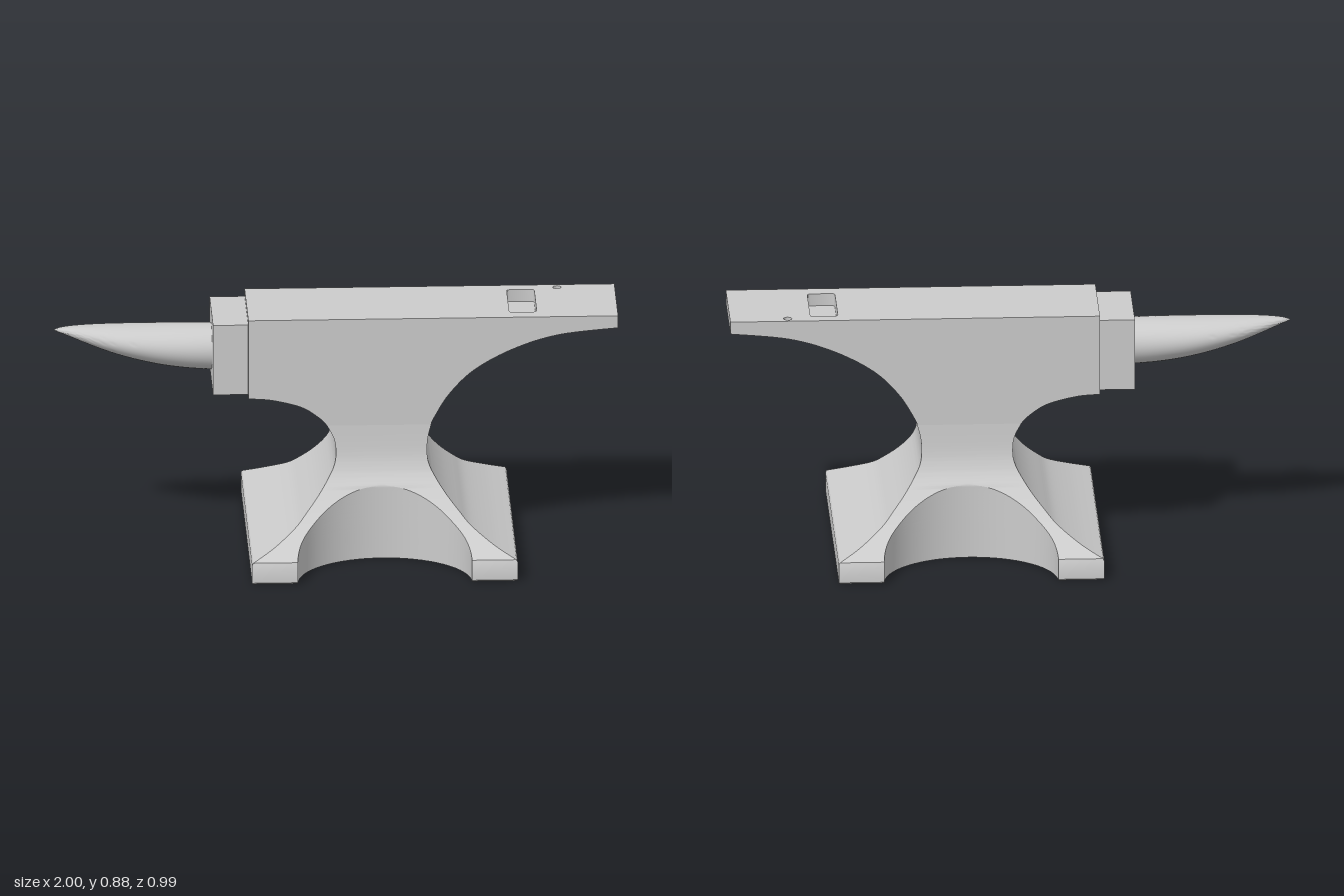
import * as THREE from 'three';
import { toCreasedNormals } from 'three/addons/utils/BufferGeometryUtils.js';

const material = new THREE.MeshStandardMaterial({ color: 0xcccccc });

function part(name, geometry, crease = 0.5) {
  const mesh = new THREE.Mesh(toCreasedNormals(geometry, crease), material);
  mesh.name = name;
  return mesh;
}

// Smoothly interpolate every column of a small table of rows
function splineRows(rows, count) {
  const curves = rows[0].map((_, c) => new THREE.SplineCurve(rows.map(r => new THREE.Vector2(r[c], 0))));
  return Array.from({ length: count + 1 }, (_, i) => curves.map(k => k.getPoint(i / count).x));
}

// Skin closed rings of equal size; both ends are capped by strips across the ring
function loft(rings) {
  const n = rings[0].length, index = [];
  const quad = (a, b, c, d) => index.push(a, b, c, a, c, d);
  for (let r = 0; r < rings.length - 1; r++) {
    for (let i = 0; i < n; i++) {
      const j = (i + 1) % n, lo = r * n, hi = lo + n;
      quad(lo + i, lo + j, hi + j, hi + i);
    }
  }
  const top = (rings.length - 1) * n;
  for (let i = 0; i < n / 2 - 1; i++) {
    quad(i, n - 1 - i, n - 2 - i, i + 1);
    quad(top + i, top + i + 1, top + n - 2 - i, top + n - 1 - i);
  }
  const geometry = new THREE.BufferGeometry();
  geometry.setAttribute('position', new THREE.Float32BufferAttribute(rings.flat(2), 3));
  geometry.setIndex(index);
  return geometry;
}

// One level of the foot: a rectangle with an elliptical bite in front and back
function footRing([y, halfZ, left, right]) {
  const centre = 0.158, biteX = 0.31, biteZ = 0.27, steps = 32;
  const reach = Math.max(0, 1 - ((0.5 - halfZ) / biteZ) ** 2);
  const dx = Math.max(0.02, biteX * Math.sqrt(reach));
  const front = [[left, y, halfZ]];
  for (let i = 0; i <= steps; i++) {
    const off = -dx * Math.cos(Math.PI * i / steps);
    const bite = 0.5 - biteZ * Math.sqrt(Math.max(0, 1 - (off / biteX) ** 2));
    front.push([centre + off, y, Math.min(halfZ, bite)]);
  }
  front.push([right, y, halfZ]);
  const back = front.map(([x, h, z]) => [x, h, -z]).reverse();
  return [...front, ...back];
}

function createModel() {
  const anvil = new THREE.Group();
  anvil.name = 'anvil';

  // Foot and waist: height, half depth, left edge, right edge
  const plinth = [
    [0, 0.49, -0.31, 0.625],
    [0.006, 0.496, -0.315, 0.63],
    [0.072, 0.496, -0.315, 0.63],
    [0.08, 0.492, -0.31, 0.625],
  ];
  const flare = splineRows([
    [0.08, 0.492, -0.31, 0.625],
    [0.115, 0.43, -0.232, 0.548],
    [0.16, 0.35, -0.155, 0.471],
    [0.2, 0.3, -0.112, 0.428],
    [0.25, 0.25, -0.066, 0.382],
    [0.3, 0.209, -0.03, 0.346],
    [0.34, 0.19, -0.01, 0.326],
    [0.38, 0.18, -0.004, 0.32],
    [0.43, 0.174, -0.01, 0.323],
    [0.48, 0.17, -0.035, 0.335],
  ], 90);
  anvil.add(part('foot', loft([...plinth, ...flare.slice(1)].map(footRing))));

  // Body: side outline from the waist up to the underside of the face plate
  const v = (x, y) => new THREE.Vector2(x, y);
  const outline = new THREE.Shape();
  outline.moveTo(0.335, 0.48);
  outline.splineThru([v(0.345, 0.505), v(0.4, 0.595), v(0.49, 0.685), v(0.63, 0.762), v(0.79, 0.812), v(1, 0.835)]);
  outline.lineTo(-0.315, 0.835);
  outline.lineTo(-0.315, 0.585);
  outline.splineThru([v(-0.23, 0.578), v(-0.125, 0.55), v(-0.06, 0.507), v(-0.035, 0.48)]);
  const body = new THREE.ExtrudeGeometry(outline, { depth: 0.34, bevelEnabled: false, curveSegments: 8 });
  body.translate(0, 0, -0.17);
  anvil.add(part('body', body));

  // Face plate with a square tool hole and a small round punch hole
  const face = new THREE.Shape([v(-0.315, -0.17), v(1, -0.17), v(1, 0.17), v(-0.315, 0.17)]);
  const x0 = 0.615, x1 = 0.713, z0 = -0.115, z1 = 0.122, r = 0.012;
  const toolHole = new THREE.Path();
  toolHole.absarc(x1 - r, z1 - r, r, 0, Math.PI / 2);
  toolHole.absarc(x0 + r, z1 - r, r, Math.PI / 2, Math.PI);
  toolHole.absarc(x0 + r, z0 + r, r, Math.PI, Math.PI * 1.5);
  toolHole.absarc(x1 - r, z0 + r, r, Math.PI * 1.5, Math.PI * 2);
  const punchHole = new THREE.Path().absarc(0.795, 0.142, 0.015, 0, Math.PI * 2);
  face.holes.push(toolHole, punchHole);
  const plate = new THREE.ExtrudeGeometry(face, { depth: 0.045, bevelEnabled: false, curveSegments: 8 });
  plate.rotateX(-Math.PI / 2).translate(0, 0.835, 0);
  anvil.add(part('facePlate', plate));

  // Step block between face and horn
  const step = new THREE.BoxGeometry(0.135, 0.262, 0.306);
  step.translate(-0.3725, 0.727, 0);
  anvil.add(part('step', step));

  // Horn: x, top, bottom, half width
  const horn = splineRows([
    [-0.43, 0.81, 0.645, 0.095],
    [-0.52, 0.811, 0.652, 0.099],
    [-0.62, 0.811, 0.667, 0.098],
    [-0.72, 0.811, 0.691, 0.09],
    [-0.81, 0.811, 0.719, 0.073],
    [-0.89, 0.81, 0.75, 0.05],
    [-0.95, 0.807, 0.775, 0.028],
    [-0.985, 0.802, 0.788, 0.012],
    [-1, 0.796, 0.794, 0.001],
  ], 40).map(([x, top, bottom, w]) => Array.from({ length: 40 }, (_, i) => {
    const a = i / 40 * Math.PI * 2;
    return [x, (top + bottom) / 2 + Math.sin(a) * (top - bottom) / 2, Math.cos(a) * w];
  }));
  anvil.add(part('horn', loft(horn), 0.8));

  return anvil;
}

export { createModel };
